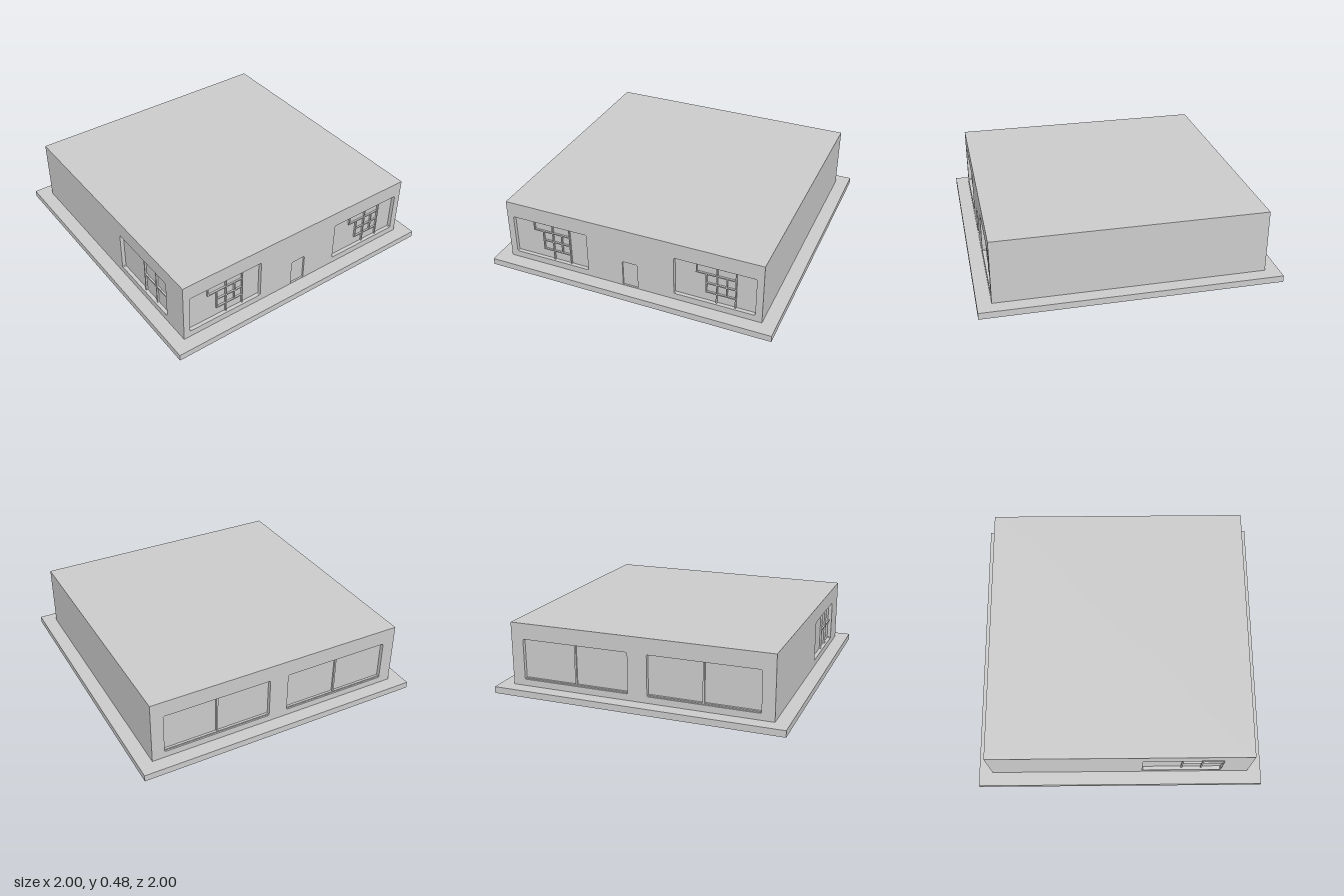
import * as THREE from 'three';

export function createModel() {
  const model = new THREE.Group();
  model.name = 'house';
  const mat = new THREE.MeshStandardMaterial({ color: 0xcccccc });
  const H = 0.906, INNER = 0.88, FLOOR = 0.045, TOP = 0.48;
  const Y0 = 0.09, Y1 = 0.37;

  // Box given by its two opposite corners
  function box(parent, name, x0, x1, y0, y1, z0, z1) {
    const mesh = new THREE.Mesh(new THREE.BoxGeometry(x1 - x0, y1 - y0, z1 - z0), mat);
    mesh.position.set((x0 + x1) / 2, (y0 + y1) / 2, (z0 + z1) / 2);
    mesh.name = name;
    parent.add(mesh);
  }

  // Rectangular opening with slightly eased corners
  function opening(x0, x1, y0, y1) {
    const e = 0.006;
    const p = [[x0 + e, y0], [x1 - e, y0], [x1, y0 + e], [x1, y1 - e],
      [x1 - e, y1], [x0 + e, y1], [x0, y1 - e], [x0, y0 + e]];
    return new THREE.Path(p.map(([x, y]) => new THREE.Vector2(x, y)).reverse());
  }

  // Wall skin with openings, turned to face one side of the house
  function wall(name, half, turn, holes) {
    const group = new THREE.Group();
    group.name = name;
    const shape = new THREE.Shape([
      new THREE.Vector2(-half, FLOOR), new THREE.Vector2(half, FLOOR),
      new THREE.Vector2(half, TOP), new THREE.Vector2(-half, TOP)]);
    shape.holes = holes.map((h) => opening(...h));
    const skin = new THREE.Mesh(
      new THREE.ExtrudeGeometry(shape, { depth: H - INNER, bevelEnabled: false }), mat);
    skin.position.z = INNER;
    skin.name = name + 'Skin';
    group.add(skin);
    group.rotation.y = turn;
    model.add(group);
    return group;
  }

  // Glazing bars placed by fractions of the opening: [u0, v0, u1, v1]
  function bars(parent, [x0, x1, y0, y1], list, t = 0.004) {
    for (const [u0, v0, u1, v1] of list) {
      const a = x0 + u0 * (x1 - x0), b = x0 + u1 * (x1 - x0);
      const c = y0 + v0 * (y1 - y0), d = y0 + v1 * (y1 - y0);
      box(parent, 'glazingBar', a - t, b + t, c - t, d + t, INNER - 0.004, INNER + 0.012);
    }
  }

  // Ground slab and solid body
  box(model, 'baseSlab', -1, 1, 0, FLOOR, -1, 1);
  box(model, 'body', -INNER, H, FLOOR, TOP, -INNER, INNER);

  // Front: two latticed windows and a central door
  const frontWindows = [[-0.86, -0.31, Y0, Y1], [0.31, 0.86, Y0, Y1]];
  const door = [-0.054, 0.054, 0.048, 0.235];
  const front = wall('frontWall', H, 0, [...frontWindows, door]);
  const lattice = [[0.27, 0.75, 0.27, 1], [0.39, 0.25, 0.39, 0.75], [0.52, 0, 0.52, 1],
    [0.64, 0.25, 0.64, 0.75], [0.75, 0, 0.75, 1],
    [0.39, 0.25, 0.75, 0.25], [0.39, 0.5, 0.75, 0.5], [0.27, 0.75, 0.75, 0.75]];
  for (const w of frontWindows) {
    bars(front, w, lattice);
    box(front, 'windowHead', w[0] + 0.01, w[1] - 0.01, Y1 - 0.01, Y1, INNER, INNER + 0.014);
  }
  box(front, 'door', door[0], door[1], door[2], door[3], INNER - 0.01, H - 0.012);

  // Back: two wide windows, each split by one post
  const backWindows = [[-0.82, -0.067, Y0, Y1], [0.067, 0.82, Y0, Y1]];
  const back = wall('backWall', H, Math.PI, backWindows);
  for (const w of backWindows) {
    bars(back, w, [[0.5, 0, 0.5, 1]], 0.006);
    box(back, 'windowSill', w[0], w[1], Y0, Y0 + 0.008, INNER, INNER + 0.016);
  }

  // Left side: one window, plain pane beside a pane of four lights
  const side = [0.156, 0.712, Y0, Y1];
  const left = wall('leftWall', INNER, -Math.PI / 2, [side]);
  bars(left, side, [[0.5, 0, 0.5, 1], [0.75, 0, 0.75, 1], [0.5, 0.5, 1, 0.5]], 0.005);

  return model;
}
